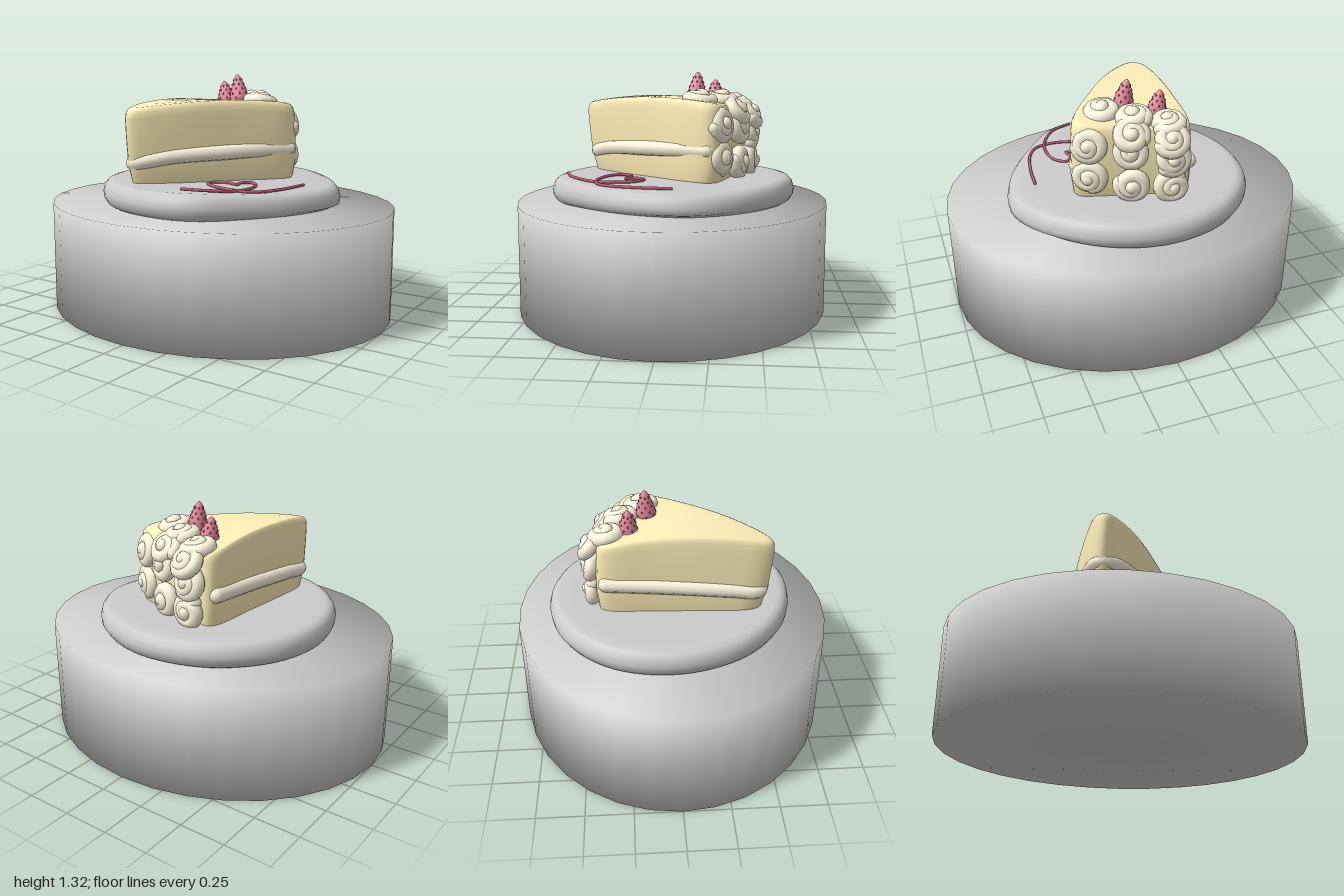
import * as THREE from 'three';

const V = (x, y, z) => new THREE.Vector3(x, y, z);
const mat = (color) => new THREE.MeshStandardMaterial({ color });
const grey = mat(0xcccccc), sponge = mat(0xfff0b8), cream = mat(0xfff6de);
const berry = mat(0xe88a9c), seedMat = mat(0xa85468), icing = mat(0xb85a70);

function add(parent, name, geometry, material) {
  const mesh = new THREE.Mesh(geometry, material);
  mesh.name = name;
  parent.add(mesh);
  return mesh;
}

// Closed smooth outline from [x, z] pairs, running from +x towards +z
function outline(pairs, n) {
  const curve = new THREE.CatmullRomCurve3(pairs.map(([x, z]) => V(x, 0, z)), true, 'centripetal');
  return curve.getSpacedPoints(n).slice(0, n);
}

// Stacks scaled copies of an outline; profile holds [scale, height], bottom to top
function loft(points, profile, centre, warp = () => {}) {
  const pos = [], index = [], n = points.length;
  profile.forEach(([s, y], j) => points.forEach((p, i) => {
    const v = V(centre[0] + (p.x - centre[0]) * s, y, centre[1] + (p.z - centre[1]) * s);
    warp(v);
    pos.push(v.x, v.y, v.z);
    if (j === profile.length - 1) return;
    const a = j * n + i, b = j * n + (i + 1) % n;
    index.push(a, a + n, b, b, a + n, b + n);
  }));
  const g = new THREE.BufferGeometry();
  g.setAttribute('position', new THREE.Float32BufferAttribute(pos, 3));
  g.setIndex(index);
  g.computeVertexNormals();
  return g;
}

// Tube along a path with rounded ends
function rope(parent, name, points, radius, material, segments) {
  const group = new THREE.Group();
  group.name = name;
  const curve = new THREE.CatmullRomCurve3(points, false, 'centripetal');
  add(group, name + 'Strand', new THREE.TubeGeometry(curve, segments, radius, 10), material);
  for (const p of [points[0], points[points.length - 1]])
    add(group, name + 'End', new THREE.SphereGeometry(radius, 10, 8), material).position.copy(p);
  parent.add(group);
  return group;
}

// Piped swirl, facing along the given direction
function rosette(parent, name, position, facing, turn) {
  const spiral = [];
  for (let i = 0; i <= 28; i++) {
    const t = i / 28, a = turn + t * Math.PI * 3.4, r = 0.064 * (1 - t ** 2.2);
    spiral.push(V(r * Math.cos(a), r * Math.sin(a), 0.028 * t * t));
  }
  const group = rope(parent, name, spiral, 0.038, cream, 56);
  add(group, 'swirlBase', new THREE.SphereGeometry(0.08, 16, 10), cream).scale.z = 0.4;
  group.position.copy(position);
  group.quaternion.setFromUnitVectors(V(0, 0, 1), facing.normalize());
}

function strawberry(parent, name, position, height, tiltX, tiltZ) {
  const group = new THREE.Group();
  group.name = name;
  const radiusAt = (t) => 0.06 * Math.sqrt(Math.max(0, 1 - t ** 2.4)) * (1 - 0.45 * t);
  const profile = [new THREE.Vector2(0, 0), new THREE.Vector2(0.045, 0)];
  for (let i = 1; i <= 14; i++) {
    const t = Math.sin((i / 14) * Math.PI / 2);
    profile.push(new THREE.Vector2(i === 14 ? 0 : radiusAt(t), t * height));
  }
  add(group, 'fruit', new THREE.LatheGeometry(profile, 16), berry);
  // Seeds in staggered rings
  for (let row = 1; row <= 5; row++) for (let k = 0; k < 7; k++) {
    const t = row * 0.16, a = (k + (row % 2) / 2) / 7 * Math.PI * 2, r = radiusAt(t);
    const seed = add(group, 'seed', new THREE.SphereGeometry(0.0045, 6, 4), seedMat);
    seed.position.set(r * Math.cos(a), t * height, r * Math.sin(a));
    seed.scale.y = 1.5;
  }
  group.position.copy(position);
  group.rotation.set(tiltX, 0, tiltZ);
  parent.add(group);
}

export function createModel() {
  const model = new THREE.Group();
  model.name = 'cakeSliceOnStand';

  // Oval stand
  const oval = [];
  for (let i = 0; i < 32; i++) {
    const a = (i / 32) * Math.PI * 2;
    oval.push(V(Math.cos(a), 0, 0.865 * Math.sin(a)));
  }
  add(model, 'stand', loft(oval, [[0, 0], [1, 0], [1, 0.605], [0, 0.605]], [0, 0]), grey);

  // Plate with a soft rim, dipping slightly on its left
  const dip = (x) => 0.06 * Math.max(0, x - 0.25);
  const plateEdge = outline([[-0.675, 0], [-0.61, -0.34], [-0.37, -0.594], [-0.02, -0.685], [0.3, -0.6],
    [0.567, -0.37], [0.675, -0.13], [0.62, 0.165], [0.433, 0.46], [0.27, 0.62], [0.06, 0.668],
    [-0.29, 0.59], [-0.556, 0.353]], 72);
  const plateProfile = [[0, 0.6], [0.93, 0.6], [0.97, 0.615], [0.995, 0.645], [1, 0.675], [0.985, 0.71],
    [0.955, 0.733], [0.91, 0.741], [0.8, 0.741], [0.5, 0.741], [0.25, 0.741], [0, 0.741]];
  add(model, 'plate', loft(plateEdge, plateProfile, [0, 0], (v) => {
    if (v.y > 0.64) v.y -= dip(v.x);
  }), grey);

  // Cake wedge: domed top, tip leaning forward
  const cake = new THREE.Group();
  cake.name = 'cakeSlice';
  model.add(cake);
  const wedge = outline([[-0.285, 0.3], [-0.265, -0.1], [-0.25, -0.36], [-0.22, -0.41], [-0.15, -0.405],
    [0.05, -0.355], [0.28, -0.295], [0.35, -0.26], [0.36, -0.2], [0.14, 0.13], [-0.05, 0.36],
    [-0.18, 0.48], [-0.23, 0.505], [-0.265, 0.485], [-0.285, 0.42]], 96);
  const wedgeProfile = [[0, 0.72], [0.93, 0.72], [0.97, 0.745], [1, 0.85], [0.99, 1.0], [0.98, 1.08],
    [0.965, 1.11], [0.935, 1.127], [0.89, 1.132], [0.7, 1.132], [0.45, 1.132], [0.2, 1.132], [0, 1.132]];
  add(cake, 'sponge', loft(wedge, wedgeProfile, [-0.1, 0], (v) => {
    const rise = (v.y - 0.85) / 0.28;
    if (v.z > 0) v.z *= 1 + 0.08 * rise;
    if (rise > 0) v.y += 0.048 * rise * Math.max(0, 1 - ((v.z - 0.1) / 0.46) ** 2);
  }), sponge);

  // Cream filling squeezed out along both cut sides
  rope(cake, 'creamFilling', [V(0.33, 0.905, -0.21), V(0.145, 0.9, 0.115), V(-0.06, 0.885, 0.35),
    V(-0.18, 0.86, 0.45), V(-0.235, 0.85, 0.468), V(-0.265, 0.85, 0.43), V(-0.272, 0.868, 0.3),
    V(-0.255, 0.895, -0.1), V(-0.24, 0.905, -0.36)], 0.042, cream, 80);

  // Two rows of swirls on the back and one row on top
  const columns = [[-0.12, -0.43, 0.97, 0.815], [0.08, -0.37, 1.015, 0.825], [0.28, -0.275, 1.04, 0.86]];
  columns.forEach(([x, z, high, low], i) => {
    rosette(cake, 'backSwirlUpper', V(x, high, z), V(0.1 + 0.25 * i, 0.2, -1), i * 2);
    rosette(cake, 'backSwirlLower', V(x, low, z), V(0.1 + 0.25 * i, 0, -1), i * 2 + 1);
  });
  [[-0.12, 1.135, -0.35], [0.04, 1.16, -0.28], [0.17, 1.165, -0.165]].forEach(([x, y, z], i) =>
    rosette(cake, 'topSwirl', V(x, y, z), V(0.1, 1, -0.15), i * 1.7 + 0.5));
  // Swirls rounding the upper back edge
  [[-0.11, 1.08, -0.43], [0.08, 1.1, -0.36]].forEach(([x, y, z], i) =>
    rosette(cake, 'edgeSwirl', V(x, y, z), V(0.2, 0.8, -1), i * 2.3));

  strawberry(cake, 'strawberryRight', V(-0.1, 1.13, -0.235), 0.145, 0, 0.15);
  strawberry(cake, 'strawberryLeft', V(0.05, 1.155, -0.135), 0.162, -0.05, 0.14);

  // Icing line looping into a heart on the plate
  const heart = [[0.155, 0.572], [0.27, 0.524], [0.353, 0.406], [0.374, 0.3], [0.353, 0.18], [0.294, 0.128],
    [0.257, 0.17], [0.267, 0.235], [0.2, 0.21], [0.13, 0.23], [0.118, 0.283], [0.18, 0.342],
    [0.326, 0.38], [0.42, 0.358], [0.47, 0.283], [0.508, 0.11], [0.519, -0.037]];
  rope(model, 'icingHeart', heart.map(([x, z]) => V(x, 0.748 - dip(x) + 0.06 * Math.max(0, z - 0.4), z)),
    0.008, icing, 120);

  return model;
}
